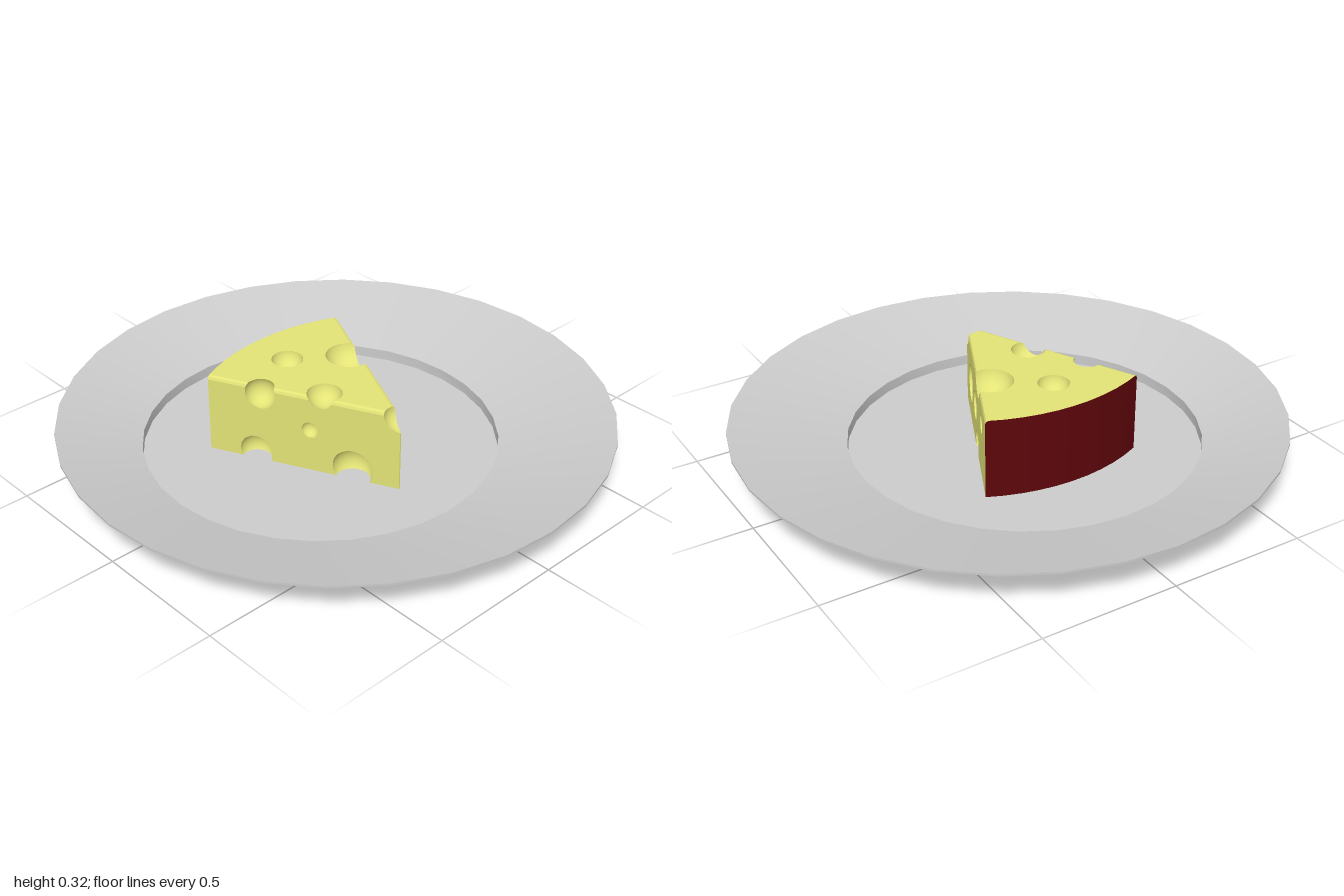
import * as THREE from 'three';
import { toCreasedNormals } from 'three/addons/utils/BufferGeometryUtils.js';

const V = (x, y, z) => new THREE.Vector3(x, y, z);
const BOTTOM = 0.02, TOP = 0.32, RADIUS = 0.72;
const TIP = V(0.377, 0, 0.051);
const HALF_ANGLE = 0.447;

// Keep the part of a polygon where f >= 0
function clip(poly, f) {
  const out = [];
  poly.forEach((a, i) => {
    const b = poly[(i + 1) % poly.length];
    const fa = f(a), fb = f(b);
    if (fa >= 0) out.push(a);
    if ((fa >= 0) !== (fb >= 0)) out.push(a.clone().lerp(b, fa / (fa - fb)));
  });
  return out;
}

// Collect polygons as triangles, with normals given by a rule
function addPolygon(target, poly, normalAt) {
  for (let i = 1; i + 1 < poly.length; i++) {
    for (const p of [poly[0], poly[i], poly[i + 1]]) {
      target.position.push(p.x, p.y, p.z);
      target.normal.push(...normalAt(p).toArray());
    }
  }
}

function toMesh(data, name, color) {
  const geo = new THREE.BufferGeometry();
  for (const key of ['position', 'normal']) {
    geo.setAttribute(key, new THREE.Float32BufferAttribute(data[key], 3));
  }
  const mesh = new THREE.Mesh(geo, new THREE.MeshStandardMaterial({ color }));
  mesh.name = name;
  return mesh;
}

// The wedge is the space behind all of these planes
function wedgePlanes() {
  const planes = [];
  const add = (n, point, rind = false) => {
    n.normalize();
    planes.push({ n, d: n.dot(point), rind });
  };
  const up = V(0, 1, 0);
  add(up.clone(), V(0, TOP, 0));
  add(V(0, -1, 0), V(0, BOTTOM, 0));
  add(V(1, 0, 0), V(0.372, 0, 0)); // blunt tip
  for (const s of [1, -1]) {
    const side = V(Math.sin(HALF_ANGLE), 0, s * Math.cos(HALF_ANGLE));
    add(side.clone(), TIP);
    // softened top edge
    const edge = TIP.clone().setY(TOP);
    for (const [a, b] of [[0.92, 0.38], [0.38, 0.92]]) {
      const n = side.clone().multiplyScalar(a).addScaledVector(up, b);
      add(n, edge.clone().addScaledVector(n, -0.005));
    }
  }
  const steps = 10; // curved back
  for (let i = 0; i < steps; i++) {
    const a = HALF_ANGLE * ((2 * i + 1) / steps - 1);
    const n = V(-Math.cos(a), 0, Math.sin(a));
    const reach = RADIUS * Math.cos(HALF_ANGLE / steps);
    add(n, TIP.clone().addScaledVector(n, reach), true);
  }
  return planes;
}

// Spherical holes: x, y, z, radius
const HOLES = [
  [-0.04, 0.335, -0.10, 0.086], [-0.17, 0.325, 0.08, 0.058],   // top
  [0.09, 0.325, 0.14, 0.063], [-0.095, 0.29, 0.272, 0.058],    // front top edge
  [0.37, 0.312, 0.045, 0.062],                                 // tip
  [0.075, 0.185, 0.196, 0.032], [-0.11, 0.05, 0.285, 0.062],   // front side
  [0.218, 0.06, 0.127, 0.075],
  [0.228, 0.165, -0.02, 0.072], [0.07, 0.17, -0.096, 0.054],   // back side
  [-0.14, 0.225, -0.196, 0.036], [0.004, 0.05, -0.127, 0.05],
].map(([x, y, z, r]) => ({ c: V(x, y, z), r }));

function createCheese() {
  const planes = wedgePlanes();
  const body = { position: [], normal: [] };
  const rind = { position: [], normal: [] };
  const inside = (pl) => (p) => pl.d - pl.n.dot(p);
  const outside = (h) => (p) => p.distanceTo(h.c) - h.r;
  const clipAll = (poly, rules) => {
    for (const f of rules) {
      if (poly.length < 3) break;
      poly = clip(poly, f);
    }
    return poly;
  };

  // Flat faces: a grid on each plane, trimmed by the other planes and the holes
  const cell = 0.02, half = 28;
  for (const pl of planes) {
    const q = new THREE.Quaternion().setFromUnitVectors(V(0, 0, 1), pl.n);
    const u = V(cell, 0, 0).applyQuaternion(q), v = V(0, cell, 0).applyQuaternion(q);
    const mid = V(0, 0.17, 0.05);
    mid.addScaledVector(pl.n, pl.d - pl.n.dot(mid));
    const at = (i, j) => mid.clone().addScaledVector(u, i).addScaledVector(v, j);
    const rules = [...planes.filter((o) => o !== pl).map(inside), ...HOLES.map(outside)];
    const normalAt = pl.rind ? (p) => V(p.x - TIP.x, 0, p.z - TIP.z).normalize() : () => pl.n;
    for (let i = -half; i < half; i++) {
      for (let j = -half; j < half; j++) {
        const quad = [at(i, j), at(i + 1, j), at(i + 1, j + 1), at(i, j + 1)];
        addPolygon(pl.rind ? rind : body, clipAll(quad, rules), normalAt);
      }
    }
  }

  // Hollows: inward spheres trimmed to the wedge
  for (const h of HOLES) {
    const pos = new THREE.SphereGeometry(h.r, 32, 20).toNonIndexed().attributes.position;
    const rules = [...planes.map(inside), ...HOLES.filter((o) => o !== h).map(outside)];
    for (let i = 0; i < pos.count; i += 3) {
      const tri = [2, 1, 0].map((k) => V().fromBufferAttribute(pos, i + k).add(h.c));
      addPolygon(body, clipAll(tri, rules), (p) => h.c.clone().sub(p).normalize());
    }
  }

  const group = new THREE.Group();
  group.name = 'cheeseWedge';
  group.add(toMesh(body, 'cheese', 0xe3e377), toMesh(rind, 'rind', 0x5e060b));
  return group;
}

// Plate: turned profile whose well sits slightly off the rim's centre
function createPlate() {
  const profile = [
    [0, 0], [0.642, 0], [0.65, 0.01], [0.65, 0.045], [1, 0.145], [1, 0.153],
    [0.64, 0.06], [0.64, 0.02], [0, 0.02],
  ].map(([r, y]) => new THREE.Vector2(r, y));
  const geo = new THREE.LatheGeometry(profile, 32);
  const pos = geo.attributes.position;
  for (let i = 0; i < pos.count; i++) {
    const x = pos.getX(i), z = pos.getZ(i);
    if (Math.hypot(x, z) < 0.7) pos.setXYZ(i, x - 0.027, pos.getY(i), z + 0.052);
  }
  const mesh = new THREE.Mesh(
    toCreasedNormals(geo, 0.35),
    new THREE.MeshStandardMaterial({ color: 0xcccccc }),
  );
  mesh.name = 'plate';
  return mesh;
}

export function createModel() {
  const model = new THREE.Group();
  model.name = 'cheeseOnPlate';
  model.add(createPlate(), createCheese());
  return model;
}
